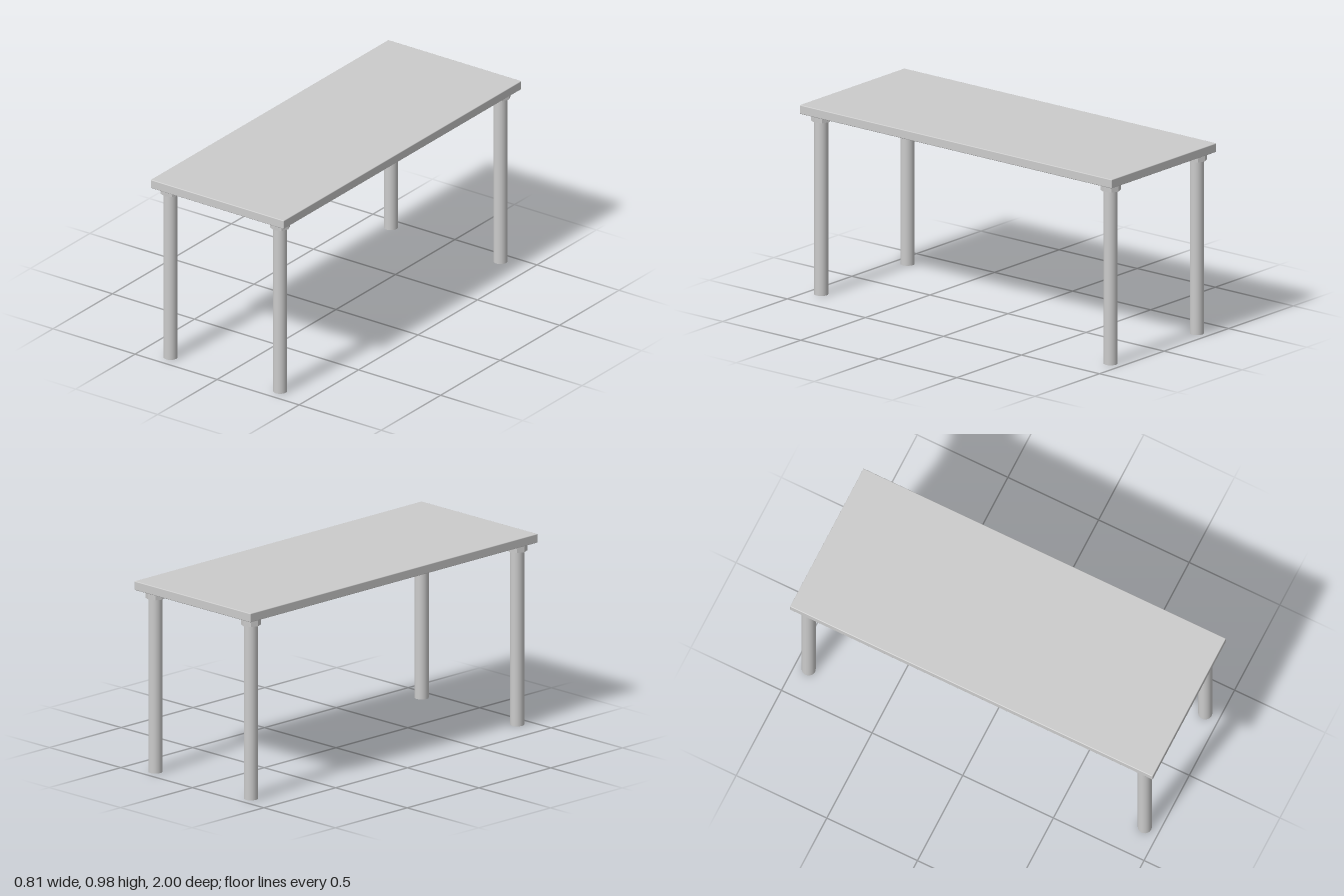
import * as THREE from 'three';
import { RoundedBoxGeometry } from 'three/addons/geometries/RoundedBoxGeometry.js';

export function createModel() {
  const model = new THREE.Group();
  model.name = 'table';
  const smooth = new THREE.MeshStandardMaterial({ color: 0xcccccc });
  const faceted = new THREE.MeshStandardMaterial({ color: 0xcccccc, flatShading: true });
  const tube = new THREE.MeshStandardMaterial({ color: 0xcccccc, side: THREE.DoubleSide });

  const add = (name, geometry, material, x, y, z) => {
    const mesh = new THREE.Mesh(geometry, material);
    mesh.name = name;
    mesh.position.set(x, y, z);
    model.add(mesh);
  };

  // Slab with very slightly eased edges
  const top = 0.978, under = 0.932, collarBase = 0.895;
  add('tableTop', new RoundedBoxGeometry(0.812, top - under, 2, 2, 0.004), smooth, 0, (top + under) / 2, 0);

  // Hollow round legs, each fixed to the slab by an eight-sided collar
  const legGeometry = new THREE.CylinderGeometry(0.035, 0.035, under, 24, 1, true);
  const collarGeometry = new THREE.CylinderGeometry(0.05, 0.05, under - collarBase, 8);
  for (const [side, x] of [['Left', 0.329], ['Right', -0.339]]) {
    for (const [end, z] of [['front', 0.924], ['back', -0.93]]) {
      add(`${end}${side}Leg`, legGeometry, tube, x, under / 2, z);
      add(`${end}${side}Collar`, collarGeometry, faceted, x, (under + collarBase) / 2, z);
    }
  }
  return model;
}
